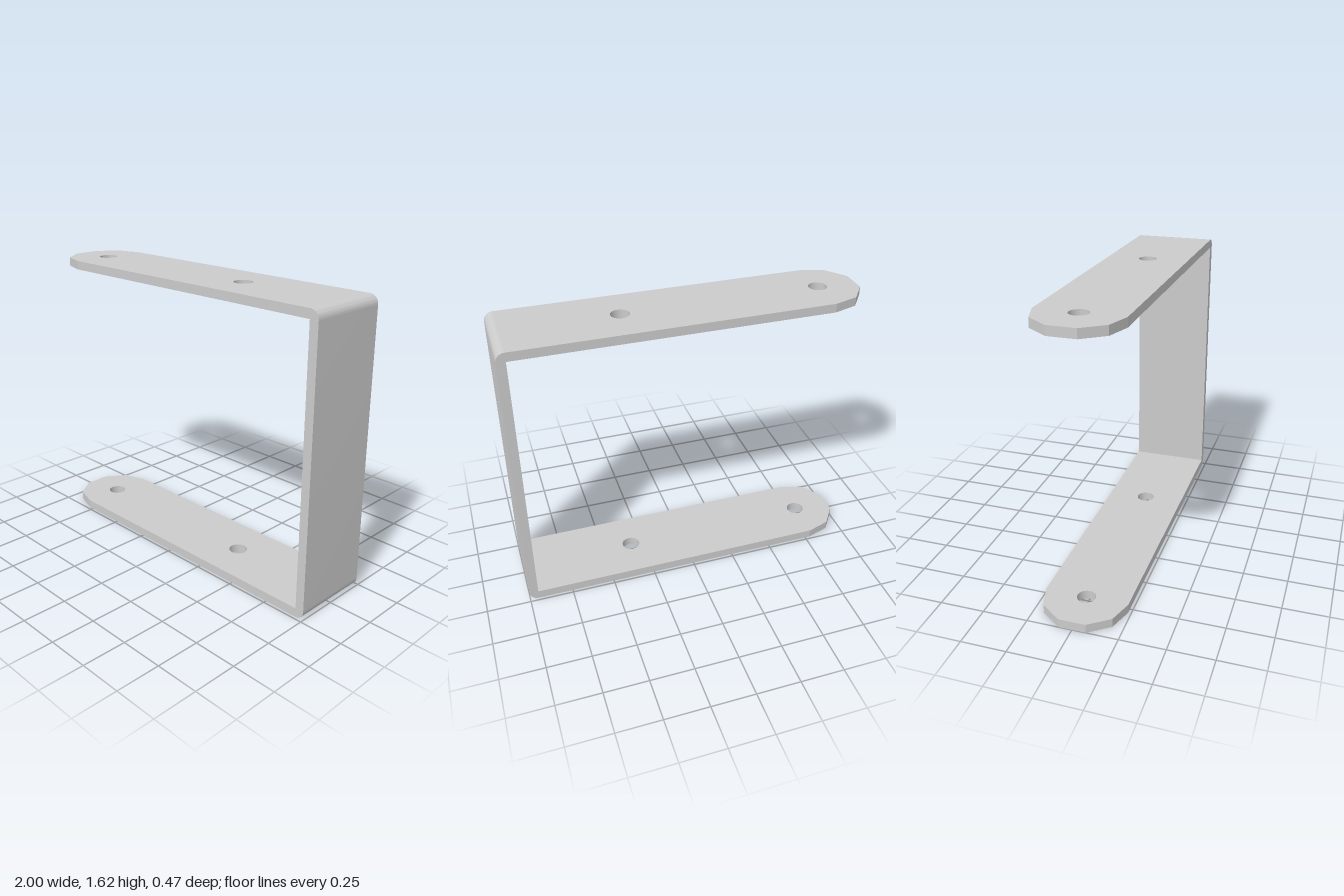
import * as THREE from 'three';
import { toCreasedNormals } from 'three/addons/utils/BufferGeometryUtils.js';

const H = 1.62;       // overall height
const T = 0.05;       // strap thickness
const W = 0.233;      // half width of the strap
const BEND = 1 - T;   // x where the arms meet the bent back strap

const material = new THREE.MeshStandardMaterial({ color: 0xcccccc });

function extrude(shape, depth) {
  const geometry = new THREE.ExtrudeGeometry(shape, { depth, bevelEnabled: false, curveSegments: 12 });
  return toCreasedNormals(geometry, 0.29);
}

// Flat arm with a faceted tip and two bolt holes
function armGeometry() {
  const side = [[BEND, W], [-0.78, W], [-0.915, 0.19], [-1, 0.075]];
  const mirrored = side.map(([x, y]) => [x, -y]).reverse();
  const shape = new THREE.Shape([...side, ...mirrored].map(([x, y]) => new THREE.Vector2(x, y)));
  for (const x of [-0.78, 0.333]) {
    shape.holes.push(new THREE.Path().absarc(x, 0, 0.052, 0, Math.PI * 2, true));
  }
  return extrude(shape, T).rotateX(-Math.PI / 2);
}

// Upright strap with rounded outer bends and sharp inner corners
function uprightGeometry() {
  const shape = new THREE.Shape();
  shape.moveTo(BEND, 0);
  shape.absarc(BEND, T, T, -Math.PI / 2, 0, false);
  shape.absarc(BEND, H - T, T, 0, Math.PI / 2, false);
  shape.lineTo(BEND, 0);
  return extrude(shape, 2 * W).translate(0, 0, -W);
}

export function createModel() {
  const group = new THREE.Group();
  group.name = 'bracket';

  const add = (name, geometry, y = 0) => {
    const mesh = new THREE.Mesh(geometry, material);
    mesh.name = name;
    mesh.position.y = y;
    group.add(mesh);
  };

  const arm = armGeometry();
  add('lowerArm', arm);
  add('upperArm', arm, H - T);
  add('upright', uprightGeometry());

  return group;
}
